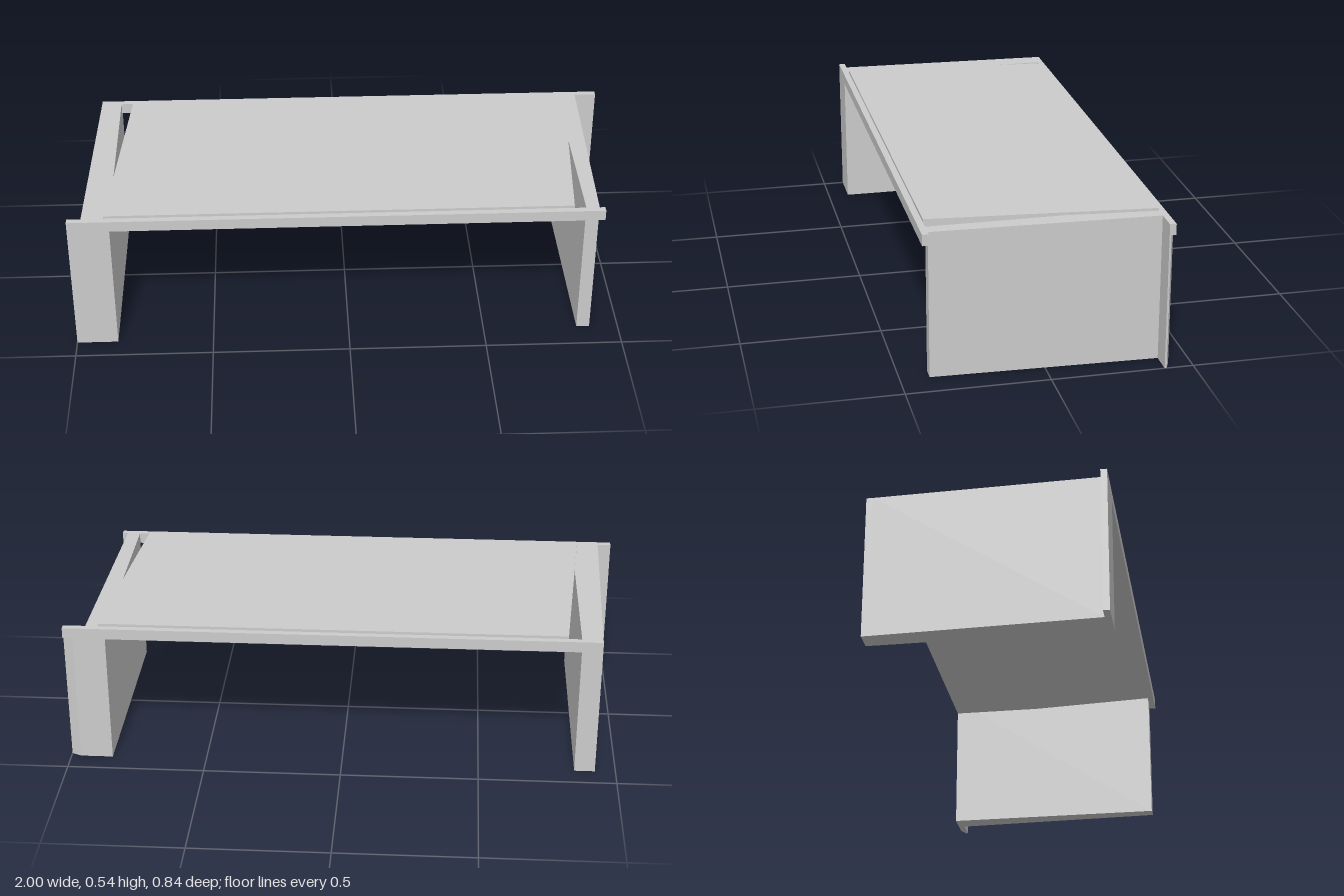
import * as THREE from 'three';

const material = new THREE.MeshStandardMaterial({ color: 0xcccccc, flatShading: true });

// Upright prism from a plan outline of [x, z] points, between two heights.
function prism(name, plan, y0, y1) {
  const shape = new THREE.Shape(plan.map(([x, z]) => new THREE.Vector2(x, -z)));
  const geometry = new THREE.ExtrudeGeometry(shape, { depth: y1 - y0, bevelEnabled: false });
  geometry.rotateX(-Math.PI / 2).translate(0, y0, 0);
  const mesh = new THREE.Mesh(geometry, material);
  mesh.name = name;
  return mesh;
}

const rect = (x0, x1, z0, z1) => [[x0, z0], [x0, z1], [x1, z1], [x1, z0]];

export function createModel() {
  const group = new THREE.Group();
  group.name = 'lowTable';
  const railBottom = 0.49, railTop = 0.53;
  const inner = 0.398, outer = 0.421;

  group.add(
    // Skewed top panel, slightly proud of the rails
    prism('tableTop', [[-0.803, -inner], [-0.87, inner], [0.805, inner], [0.875, -inner]], railBottom, 0.54),

    // Tapered side panels
    prism('leftSidePanel', [[0.847, -inner], [0.847, inner], [0.895, inner], [0.919, -inner]], 0, railTop),
    prism('rightSidePanel', [[-0.925, -inner], [-0.95, inner], [-0.85, inner], [-0.85, -inner]], 0, railTop),

    // Long rails along the front and back
    prism('frontRail', rect(-1, 0.915, inner, outer), railBottom, railTop),
    prism('backRail', rect(-0.925, 1, -outer, -inner), railBottom, railTop),

    // Corner boards below the rails; the back one has a chamfered end
    prism('frontCornerBoard', rect(-1, -0.85, inner, outer), 0, railBottom),
    prism('backCornerBoard',
      [[0.847, -outer], [0.847, -inner], [1, -inner], [1, -0.405], [0.965, -outer]], 0, railBottom),

    // Back edge of the right side panel
    prism('rightBackEdge', rect(-0.925, -0.85, -outer, -inner), 0, railBottom)
  );
  return group;
}
